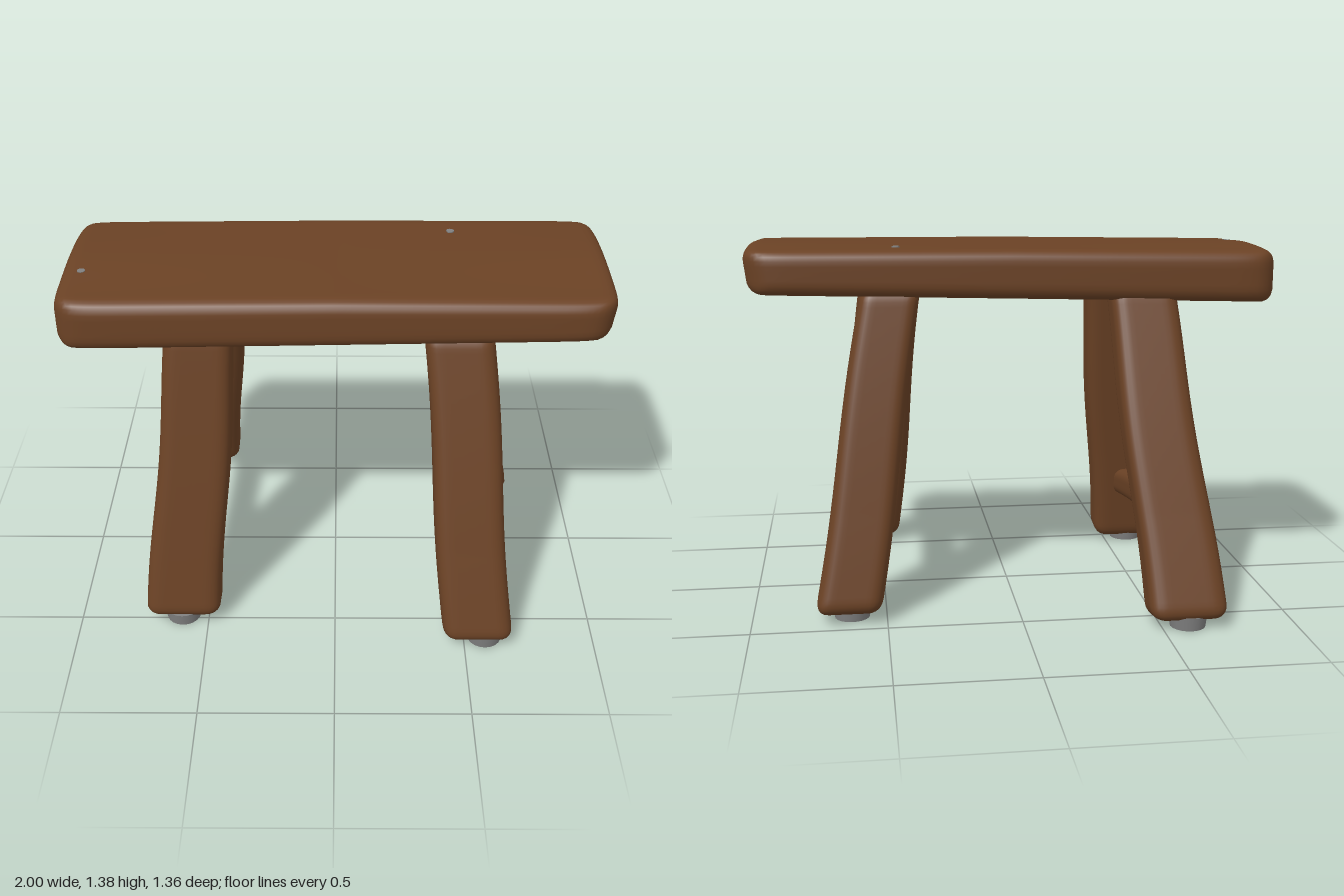
import * as THREE from 'three';
import { mergeVertices } from 'three/addons/utils/BufferGeometryUtils.js';

const wood = new THREE.MeshStandardMaterial({ color: 0x6b4225 });
wood.name = 'brown wood';
const grey = new THREE.MeshStandardMaterial({ color: 0x808080 });
grey.name = 'grey pad';

const lerp = THREE.MathUtils.lerp;

// Finely divided box with rounded edges, bent by a rule that edits each point in place
function softBlock(w, h, d, r, step, rule) {
  const n = (s) => Math.max(6, Math.round(s / step));
  let g = new THREE.BoxGeometry(w, h, d, n(w), n(h), n(d));
  g.deleteAttribute('normal');
  g.deleteAttribute('uv');
  g = mergeVertices(g, 1e-4);
  const inner = new THREE.Vector3(w / 2 - r, h / 2 - r, d / 2 - r);
  const low = inner.clone().negate();
  const pos = g.attributes.position;
  const p = new THREE.Vector3();
  const core = new THREE.Vector3();
  for (let i = 0; i < pos.count; i++) {
    p.fromBufferAttribute(pos, i);
    core.copy(p).clamp(low, inner);
    p.sub(core).setLength(r).add(core);
    rule(p);
    pos.setXYZ(i, p.x, p.y, p.z);
  }
  g.computeVertexNormals();
  return g;
}

function add(group, name, geometry, material) {
  const mesh = new THREE.Mesh(geometry, material);
  mesh.name = name;
  group.add(mesh);
  return mesh;
}

// Thick plank, a little thinner and higher at its left end, with a worn top
function seatGeometry() {
  return softBlock(2, 0.2, 0.71, 0.05, 0.022, (p) => {
    const t = (p.x + 1) / 2;
    const x = p.x;
    const z = p.z;
    // rounded corners in plan
    p.z *= 1 - 0.09 * Math.pow(Math.abs(x), 24);
    p.x *= 1 - 0.025 * Math.pow(Math.abs(z) / 0.355, 8);
    p.x += 0.01 * t * (p.y / 0.1) - 0.01 * t;
    const wear = p.y > 0 ? 0.006 * Math.sin(z * 9 - 1.2) * Math.abs(x) : 0;
    p.y = p.y * lerp(1, 0.83, t) + lerp(1.253, 1.288, t) - wear;
    p.z += lerp(0.033, 0.055, t);
  });
}

const TOP = 1.17;
const BOTTOM = 0.03;

// Splayed leg: top and bottom are [x, z, width, depth]
function legGeometry(top, bottom) {
  const tilt = Math.sign(bottom[1]) * 0.16;
  return softBlock(1, 1.2, 1, 0.2, 0.05, () => {}) && softBlock(0.26, 1.2, 0.18, 0.05, 0.018, (p) => {
    const t = (p.y + 0.6) / 1.2 * 1.05;
    const [cx, cz, w, d] = bottom.map((b, i) => lerp(b, top[i], t));
    const fade = Math.max(0, 1 - t * 3);
    const y = lerp(BOTTOM, TOP, t) + p.z * tilt * fade;
    // slight bulge keeps the sides hand-cut
    const wobble = 0.006 * Math.sin(t * 7 + cx * 5);
    p.set(cx + p.x * w / 0.26 + wobble, y, cz + p.z * d / 0.18);
  });
}

// Rail between two legs: ends are [x, y, z, height], front end first
function railGeometry(front, back) {
  const len = front[2] - back[2];
  return softBlock(0.1, 0.14, len, 0.045, 0.015, (p) => {
    const t = 0.5 - p.z / len;
    const [cx, cy, cz, h] = front.map((f, i) => lerp(f, back[i], t));
    const arch = 0.015 * Math.sin(Math.PI * t);
    p.set(cx + p.x, cy + arch + p.y * h / 0.14, cz);
  });
}

export function createModel() {
  const model = new THREE.Group();
  model.name = 'stool';

  add(model, 'seat', seatGeometry(), wood);

  // Legs with their foot pads [x, z]
  const legs = [
    ['leftFrontLeg', [0.445, 0.295, 0.25, 0.175], [0.55, 0.605, 0.265, 0.175], [0.58, 0.595]],
    ['leftBackLeg', [0.465, -0.19, 0.22, 0.18], [0.645, -0.39, 0.245, 0.2], [0.63, -0.36]],
    ['rightFrontLeg', [-0.485, 0.285, 0.25, 0.17], [-0.595, 0.475, 0.29, 0.16], [-0.6, 0.475]],
    ['rightBackLeg', [-0.485, -0.215, 0.25, 0.17], [-0.595, -0.61, 0.29, 0.165], [-0.6, -0.605]],
  ];
  for (const [name, top, bottom, foot] of legs) {
    add(model, name, legGeometry(top, bottom), wood);
    const pad = add(model, name + 'Pad', new THREE.CylinderGeometry(0.072, 0.066, 0.05, 20), grey);
    pad.position.set(foot[0], 0.025, foot[1]);
  }

  // Side rails
  add(model, 'leftRail', railGeometry([0.51, 0.505, 0.46, 0.15], [0.56, 0.55, -0.28, 0.16]), wood);
  add(model, 'rightRail', railGeometry([-0.57, 0.275, 0.43, 0.11], [-0.56, 0.395, -0.47, 0.145]), wood);

  // Small worn spots on the seat top
  for (const [x, y, z] of [[-0.92, 1.353, 0.14], [0.435, 1.366, -0.17]]) {
    const spot = add(model, 'seatSpot', new THREE.CylinderGeometry(0.015, 0.015, 0.008, 10), grey);
    spot.position.set(x, y, z);
  }
  return model;
}
